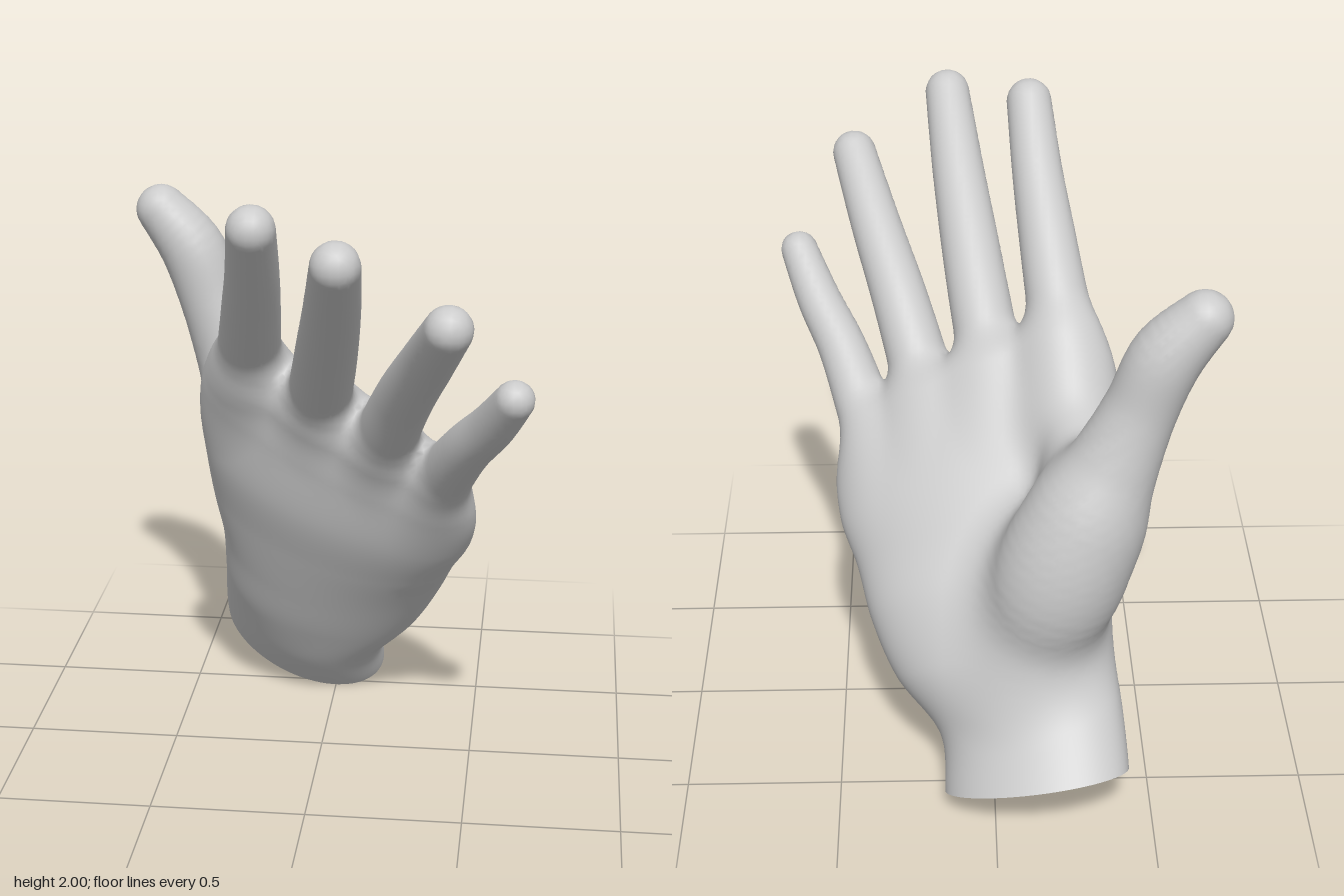
import * as THREE from 'three';

const material = new THREE.MeshStandardMaterial({ color: 0xcccccc });
const CELL = 0.022;
const ORIGIN = [-0.75, -0.1, -0.95];
const SIZE = [69, 98, 87];

// Limbs as rows of [x, y, z, radius], running from inside the palm to the tip
const LIMBS = {
  indexFinger: [
    [-0.2, 0.84, -0.24, 0.07], [-0.24, 1.16, -0.1, 0.09], [-0.23, 1.35, 0.03, 0.102],
    [-0.193, 1.57, 0.24, 0.093], [-0.162, 1.75, 0.42, 0.082], [-0.14, 1.927, 0.595, 0.073],
  ],
  middleFinger: [
    [0, 0.81, -0.17, 0.07], [0, 1.08, -0.04, 0.085], [0.005, 1.26, 0.1, 0.1],
    [0.045, 1.46, 0.31, 0.097], [0.09, 1.68, 0.56, 0.086], [0.125, 1.88, 0.8, 0.073],
  ],
  ringFinger: [
    [0.15, 0.73, -0.165, 0.07], [0.19, 0.98, -0.02, 0.085], [0.215, 1.14, 0.12, 0.098],
    [0.285, 1.34, 0.31, 0.092], [0.37, 1.53, 0.53, 0.082], [0.44, 1.69, 0.74, 0.072],
  ],
  littleFinger: [
    [0.28, 0.64, -0.18, 0.07], [0.36, 0.88, 0, 0.085], [0.408, 1.03, 0.13, 0.09],
    [0.48, 1.18, 0.29, 0.08], [0.56, 1.3, 0.42, 0.072], [0.627, 1.425, 0.545, 0.061],
  ],
  thumb: [
    [-0.1, 0.38, -0.5, 0.13], [-0.14, 0.6, -0.49, 0.17], [-0.2, 0.82, -0.52, 0.205], [-0.27, 1.02, -0.53, 0.185],
    [-0.35, 1.2, -0.52, 0.14], [-0.43, 1.4, -0.515, 0.112], [-0.5, 1.58, -0.522, 0.109], [-0.605, 1.71, -0.53, 0.085],
  ],
  thumbWeb: [
    [-0.3, 1, -0.5, 0.1], [-0.29, 1.08, -0.36, 0.11], [-0.28, 1.12, -0.26, 0.11],
    [-0.26, 1.18, -0.14, 0.11], [-0.24, 1.3, 0, 0.085],
  ],
};

// Palm sections at even steps of d from wrist to knuckles; v runs from palm to back of hand:
// [x, half width, v, half depth, tilt, shear by x, shear by v]
const D0 = -0.375, D1 = 0.955;
const PALM = [
  [-0.13, 0.29, -0.555, 0.215, 0.3, -0.18, 0.32],
  [-0.115, 0.29, -0.565, 0.215, 0.27, -0.16, 0.22],
  [-0.035, 0.345, -0.59, 0.22, 0.13, -0.15, 0.08],
  [0.01, 0.38, -0.635, 0.225, 0.13, -0.15, 0],
  [0.02, 0.415, -0.675, 0.215, 0.22, -0.17, 0],
  [0.045, 0.445, -0.71, 0.195, 0.28, -0.23, 0],
  [0.06, 0.435, -0.76, 0.155, 0.36, -0.28, 0],
  [0.06, 0.35, -0.81, 0.11, 0.39, -0.3, 0],
];

// Catmull-Rom through rows of numbers, column by column
function sample(rows, t) {
  const s = THREE.MathUtils.clamp(t, 0, 1) * (rows.length - 1);
  const i = Math.min(Math.floor(s), rows.length - 2);
  const f = s - i;
  const [r0, r1, r2, r3] = [rows[Math.max(i - 1, 0)], rows[i], rows[i + 1], rows[Math.min(i + 2, rows.length - 1)]];
  return r1.map((p1, c) => {
    const p2 = r2[c], m1 = (p2 - r0[c]) / 2, m2 = (r3[c] - p1) / 2;
    return p1 + m1 * f + (3 * (p2 - p1) - 2 * m1 - m2) * f * f + (2 * (p1 - p2) + m1 + m2) * f * f * f;
  });
}

const chains = Object.values(LIMBS).map((rows) => Array.from({ length: 45 }, (_, i) => sample(rows, i / 44)));
const partNames = [...Object.keys(LIMBS), 'palm'];

// Distance to a chain of tapered rods
function chainDistance(chain, x, y, z) {
  let best = Infinity;
  for (let i = 0; i < chain.length - 1; i++) {
    const a = chain[i], b = chain[i + 1];
    const ux = b[0] - a[0], uy = b[1] - a[1], uz = b[2] - a[2];
    const px = x - a[0], py = y - a[1], pz = z - a[2];
    const t = Math.min(1, Math.max(0, (px * ux + py * uy + pz * uz) / (ux * ux + uy * uy + uz * uz)));
    const qx = px - ux * t, qy = py - uy * t, qz = pz - uz * t;
    best = Math.min(best, Math.sqrt(qx * qx + qy * qy + qz * qz) - a[3] - (b[3] - a[3]) * t);
  }
  return best;
}

// Position of a point within the palm's own sections
function palmFrame(x, y, z) {
  const along = (y + z) * Math.SQRT1_2, v = (z - y) * Math.SQRT1_2;
  let d = along, row;
  for (let i = 0; i < 3; i++) {
    row = sample(PALM, (d - D0) / (D1 - D0));
    d = along - row[5] * (x - row[0]) - row[6] * (v - row[2]);
  }
  return { d, row, dx: x - row[0], dv: v - row[2] };
}

function palmDistance(x, y, z) {
  const { d, row: [, a, , b, tilt], dx, dv } = palmFrame(x, y, z);
  const w = dv - tilt * dx, round = 0.08;
  const k0 = Math.max(Math.hypot(dx / a, w / b), 1e-4);
  const k1 = Math.max(Math.hypot(dx / (a * a), w / (b * b)), 1e-4);
  const side = (k0 * (k0 - 1)) / k1 + round, end = d - D1 - 0.01 + round;
  return Math.min(Math.max(side, end), 0) + Math.hypot(Math.max(side, 0), Math.max(end, 0)) - round;
}

const distances = (x, y, z) => [...chains.map((c) => chainDistance(c, x, y, z)), palmDistance(x, y, z)];

function blend(a, b, k) {
  const h = Math.max(k - Math.abs(a - b), 0);
  return Math.min(a, b) - (h * h) / (4 * k);
}

// Whole hand: fingers, thumb and web melted into the palm
function field(x, y, z) {
  const [index, middle, ring, little, thumb, web, palm] = distances(x, y, z);
  const fingers = [middle, ring, little].reduce((sum, f) => blend(sum, f, 0.03), index);
  return blend(blend(blend(palm, thumb, 0.14), web, 0.12), fingers, 0.09);
}

function gradient([x, y, z], e) {
  return [
    field(x + e, y, z) - field(x - e, y, z),
    field(x, y + e, z) - field(x, y - e, z),
    field(x, y, z + e) - field(x, y, z - e),
  ].map((g) => g / (2 * e));
}

// Net of quads over the field's surface, sorted into parts by the nearest one
function netOverField() {
  const step = [1, SIZE[0], SIZE[0] * SIZE[1]];
  const values = new Float32Array(SIZE[0] * SIZE[1] * SIZE[2]);
  const place = (n) => [n % SIZE[0], Math.floor(n / step[1]) % SIZE[1], Math.floor(n / step[2])];
  const world = (p) => p.map((c, i) => ORIGIN[i] + c * CELL);
  for (let n = 0; n < values.length; n++) values[n] = field(...world(place(n)));

  const positions = [], normals = [], heights = [], owners = [];
  const vertexOf = new Map();
  for (let n = 0; n < values.length; n++) {
    const p = place(n);
    if (p.some((c, i) => c >= SIZE[i] - 1)) continue;
    // average of the crossings on the cell's twelve edges
    const sum = [0, 0, 0];
    let count = 0;
    for (let edge = 0; edge < 12; edge++) {
      const a = edge >> 2, b = (a + 1) % 3, c = (a + 2) % 3;
      const ob = edge & 1, oc = (edge >> 1) & 1;
      const from = n + ob * step[b] + oc * step[c];
      const f0 = values[from], f1 = values[from + step[a]];
      if (f0 < 0 === f1 < 0) continue;
      sum[a] += f0 / (f0 - f1);
      sum[b] += ob;
      sum[c] += oc;
      count++;
    }
    if (!count) continue;
    let point = world(p.map((c, i) => c + sum[i] / count));
    const g = gradient(point, 0.004);
    const push = field(...point) / Math.max(g[0] * g[0] + g[1] * g[1] + g[2] * g[2], 0.2);
    point = point.map((c, i) => c - g[i] * push);
    const normal = new THREE.Vector3(...gradient(point, 0.016)).normalize();
    // trim the wrist flat
    const height = palmFrame(...point).d - D0;
    const lift = Math.max(-height, 0) * Math.SQRT1_2;
    const near = distances(...point);
    vertexOf.set(n, heights.length);
    positions.push(point[0], point[1] + lift, point[2] + lift);
    normals.push(normal.x, normal.y, normal.z);
    heights.push(height);
    owners.push(near.indexOf(Math.min(...near)));
  }

  const indices = partNames.map(() => []);
  for (let n = 0; n < values.length; n++) {
    const p = place(n);
    for (let a = 0; a < 3; a++) {
      const b = (a + 1) % 3, c = (a + 2) % 3;
      if (p[a] >= SIZE[a] - 1 || !p[b] || !p[c]) continue;
      const inside = values[n] < 0;
      if (inside === values[n + step[a]] < 0) continue;
      const quad = [n, n - step[b], n - step[b] - step[c], n - step[c]].map((k) => vertexOf.get(k));
      if (quad.includes(undefined) || quad.every((k) => heights[k] <= 0)) continue;
      const owner = owners[quad[0]];
      if (!inside) quad.reverse();
      indices[owner].push(quad[0], quad[1], quad[2], quad[0], quad[2], quad[3]);
    }
  }
  return { positions, normals, indices };
}

export function createModel() {
  const hand = new THREE.Group();
  hand.name = 'hand';
  const add = (name, geometry) => {
    const mesh = new THREE.Mesh(geometry, material);
    mesh.name = name;
    hand.add(mesh);
  };

  // Palm, fingers, thumb and web, with normals that run on across the joins
  const { positions, normals, indices } = netOverField();
  partNames.forEach((name, i) => {
    const geometry = new THREE.BufferGeometry();
    geometry.setAttribute('position', new THREE.Float32BufferAttribute(positions, 3));
    geometry.setAttribute('normal', new THREE.Float32BufferAttribute(normals, 3));
    geometry.setIndex(indices[i]);
    add(name, geometry.toNonIndexed());
  });

  // Flat end of the wrist
  const [x, a, v, b, tilt, shearX, shearV] = PALM[0];
  const wristEnd = new THREE.CircleGeometry(1, 64);
  const corner = wristEnd.attributes.position;
  for (let i = 0; i < corner.count; i++) {
    const dx = a * corner.getX(i), dv = tilt * dx + b * corner.getY(i);
    const d = D0 + shearX * dx + shearV * dv;
    corner.setXYZ(i, x + dx, (d - v - dv) * Math.SQRT1_2, (d + v + dv) * Math.SQRT1_2);
  }
  wristEnd.computeVertexNormals();
  add('wristEnd', wristEnd);
  return hand;
}
